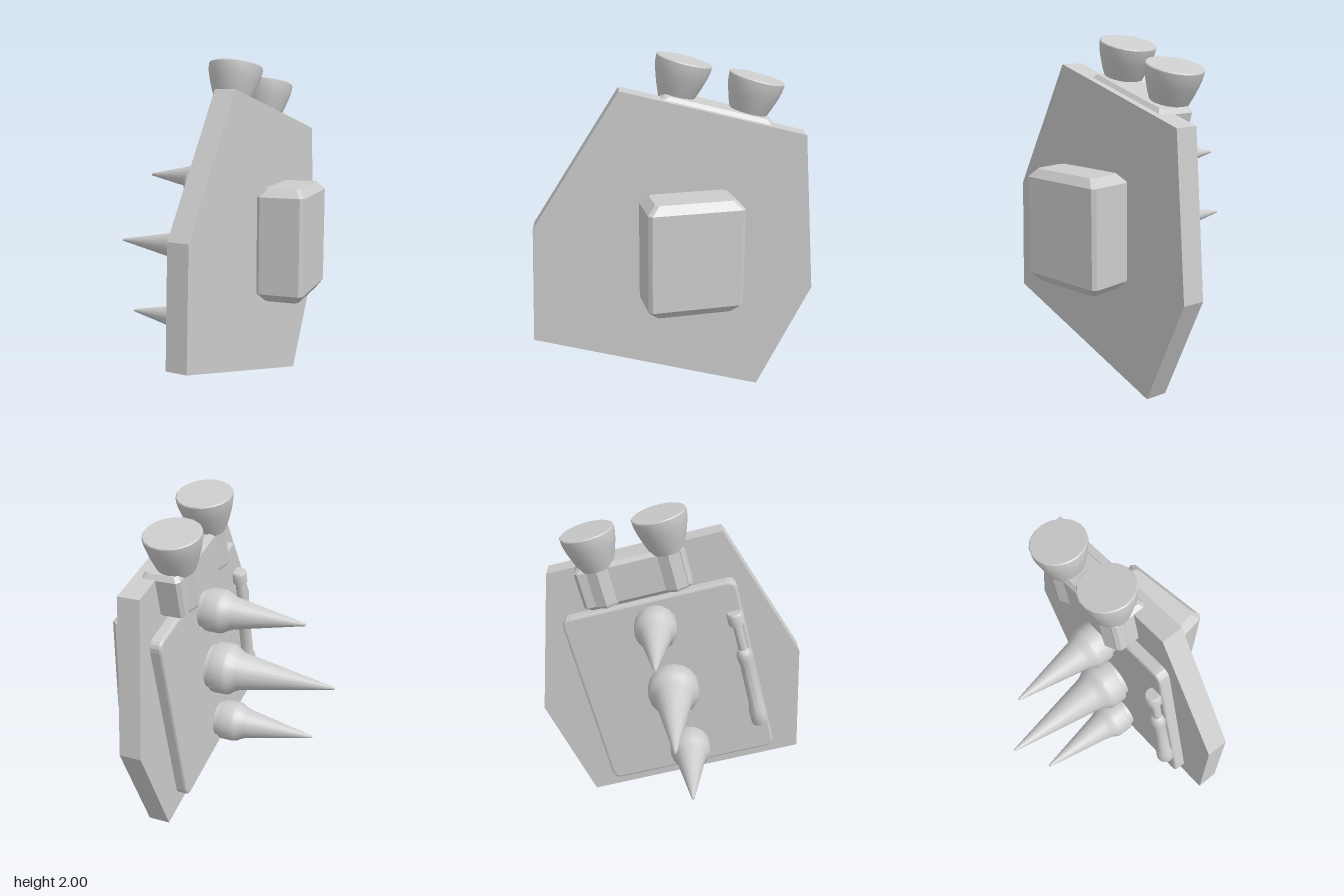
import * as THREE from 'three';
import { toCreasedNormals } from 'three/addons/utils/BufferGeometryUtils.js';
import { ConvexGeometry } from 'three/addons/geometries/ConvexGeometry.js';

const grey = new THREE.MeshStandardMaterial({ color: 0xcccccc });
grey.name = 'grey';

function add(parent, name, geometry, x = 0, y = 0, z = 0) {
  const mesh = new THREE.Mesh(geometry, grey);
  mesh.name = name;
  mesh.position.set(x, y, z);
  parent.add(mesh);
  return mesh;
}

// Box with its upright edges cut by side, and its top and bottom rims cut by rim
function chamferBox(w, h, d, side, rim) {
  const pts = [];
  for (const sx of [-1, 1]) for (const sy of [-1, 1]) for (const sz of [-1, 1]) {
    for (const [inset, y] of [[0, h / 2 - rim], [rim, h / 2]]) {
      const x = w / 2 - inset * 0.75, z = d / 2 - inset;
      pts.push(new THREE.Vector3(sx * x, sy * y, sz * (z - side)));
      pts.push(new THREE.Vector3(sx * (x - side), sy * y, sz * z));
    }
  }
  return new ConvexGeometry(pts);
}

// Turned solid from [radius, height] pairs, bottom to top
function turned(profile, sides, crease = 0.6) {
  const pts = profile.map(([r, y]) => new THREE.Vector2(r, y));
  return toCreasedNormals(new THREE.LatheGeometry(pts, sides), crease);
}

// Spike with a wide collar on a short stub, pointing to -x
function spikeGeometry(length, r) {
  return turned([
    [r * 0.85, 0.06], [r * 0.85, 0.1], [r * 0.97, 0.1], [r, 0.115], [r, 0.19],
    [r * 0.96, 0.21], [r * 0.84, 0.235], [r * 0.73, 0.27], [0.008, length - 0.004], [0, length],
  ], 20, 0.9).rotateZ(Math.PI / 2);
}

// Flat panel with rounded corners and a bevelled rim, facing -x
function panelGeometry(w, h, r, depth) {
  const s = new THREE.Shape();
  const a = w / 2, b = h / 2;
  s.moveTo(-a + r, -b);
  s.lineTo(a - r, -b).quadraticCurveTo(a, -b, a, -b + r);
  s.lineTo(a, b - r).quadraticCurveTo(a, b, a - r, b);
  s.lineTo(-a + r, b).quadraticCurveTo(-a, b, -a, b - r);
  s.lineTo(-a, -b + r).quadraticCurveTo(-a, -b, -a + r, -b);
  const bevel = 0.015;
  return new THREE.ExtrudeGeometry(s, {
    depth: depth - bevel, curveSegments: 4, bevelEnabled: true,
    bevelThickness: bevel, bevelSize: bevel, bevelOffset: -bevel, bevelSegments: 2,
  }).rotateY(-Math.PI / 2);
}

export function createModel() {
  const model = new THREE.Group();
  model.name = 'spikedArmourPlate';

  // Everything on the plate turns with it about the vertical
  const body = new THREE.Group();
  body.name = 'plateAssembly';
  body.position.set(0.188, 0, 0);
  body.rotation.y = -0.172;
  model.add(body);

  // Six-sided plate; corners are [z, y]
  const corners = [[0.29, 1.823], [-0.758, 1.563], [-0.834, 0.636],
    [-0.525, 0], [0.815, 0.334], [0.79, 1.033]];
  const outline = new THREE.Shape(corners.map(([z, y]) => new THREE.Vector2(-z, y)));
  add(body, 'plate', new THREE.ExtrudeGeometry(outline, { depth: 0.132, bevelEnabled: false })
    .rotateY(Math.PI / 2));

  // Fittings lean with the plate's sloping top edge
  const fittings = new THREE.Group();
  fittings.name = 'fittings';
  fittings.position.y = 0.84;
  fittings.rotation.x = -0.243;
  body.add(fittings);

  add(fittings, 'innerPanel', panelGeometry(1.085, 1.2, 0.06, 0.07), 0, -0.005, -0.015);

  // Three spikes down the middle of the panel
  for (const [y, length, r] of [[0.445, 0.695, 0.13], [0.005, 0.855, 0.16], [-0.437, 0.7, 0.128]]) {
    add(fittings, 'spike', spikeGeometry(length, r), 0, y, 0);
  }

  // Bar carrying the two stacks
  add(fittings, 'stackBar', chamferBox(0.23, 0.27, 0.66, 0.02, 0.025), -0.025, 0.772, -0.05);

  // Two flared stacks on faceted stems
  for (const z of [0.186, -0.241]) {
    add(fittings, 'stackStem', turned([[0, 0.645], [0.09, 0.645], [0.097, 0.66], [0.097, 0.9]], 8, 0.3),
      -0.07, 0, z);
    add(fittings, 'stackCup', turned([[0, 0.88], [0.1, 0.88], [0.126, 0.945], [0.149, 1.015],
      [0.16, 1.06], [0.163, 1.1], [0.158, 1.106], [0, 1.106]], 18, 0.5), -0.07, 0, z);
  }

  // Piston along the front edge of the panel
  add(fittings, 'piston', turned([
    [0, -0.39], [0.05, -0.39], [0.055, -0.375], [0.055, -0.29], [0.044, -0.25], [0.041, 0.04],
    [0.048, 0.075], [0.048, 0.12], [0.036, 0.145], [0.028, 0.15], [0.028, 0.325],
    [0.05, 0.325], [0.05, 0.39], [0.042, 0.402], [0, 0.402],
  ], 14), -0.095, 0, 0.475);
  // Mounts joining the piston to the panel
  for (const y of [-0.33, 0.36]) {
    add(fittings, 'pistonMount', new THREE.BoxGeometry(0.06, 0.06, 0.05), -0.075, y, 0.475);
  }

  // Upright pack on the outer side
  add(model, 'pack', chamferBox(0.275, 0.66, 0.545, 0.02, 0.048), 0.503, 0.935, -0.048);

  return model;
}
